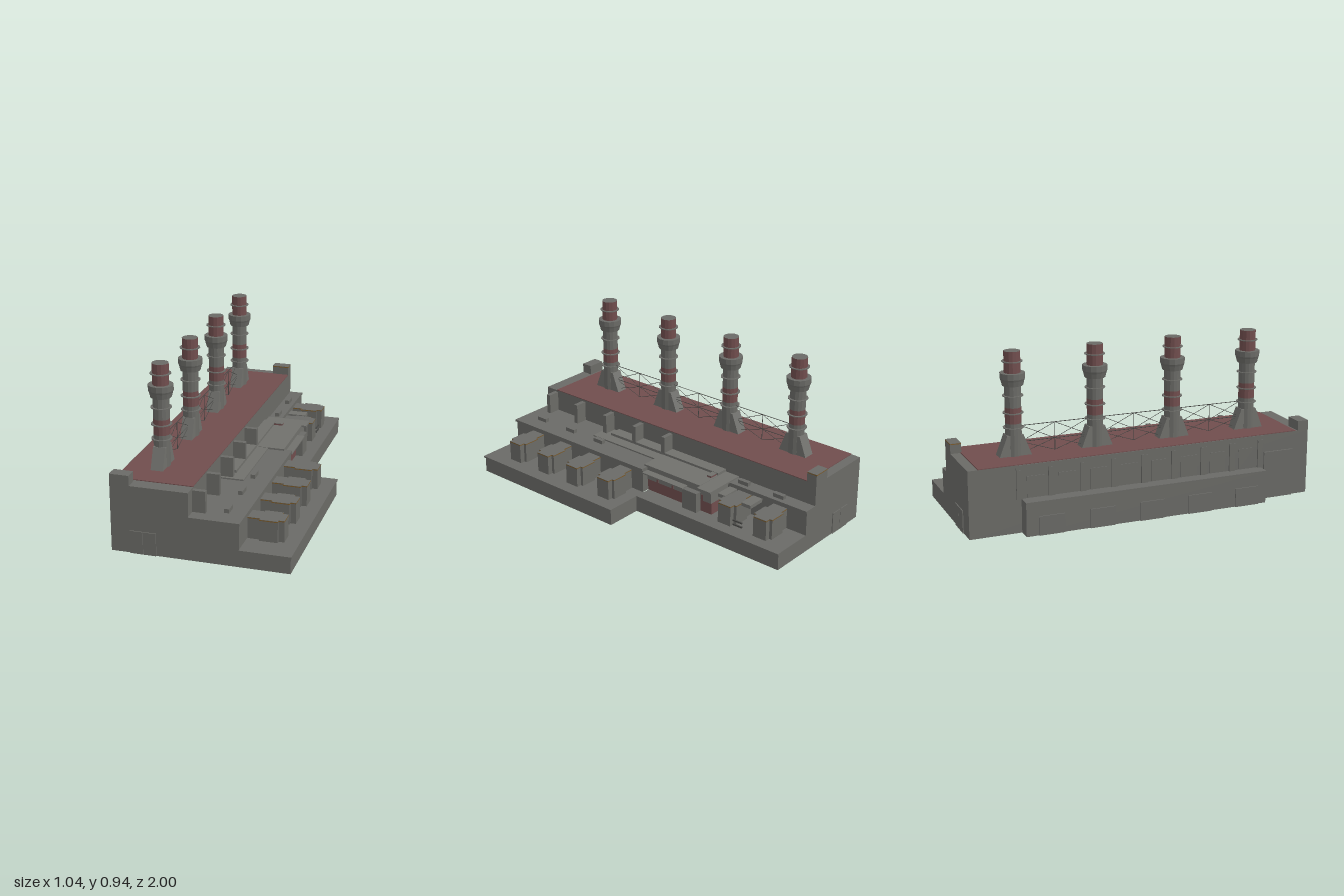
import * as THREE from 'three';

const paint = (name, color) => new THREE.MeshStandardMaterial({ name, color, side: THREE.DoubleSide });

export function createModel() {
  const wall = paint('concrete grey', 0x6a6a66);
  const brick = paint('faded red', 0x704d4d);
  const light = paint('pale grey', 0x70706c);
  const steel = paint('dark steel', 0x484846);
  const rust = paint('rusty brown', 0x7c5a28);
  const model = new THREE.Group();
  model.name = 'powerStation';

  const add = (name, geometry, material, parent = model) => {
    const m = new THREE.Mesh(geometry, material);
    m.name = name;
    parent.add(m);
    return m;
  };
  const boxGeometry = ([x0, x1], [y0, y1], [z0, z1]) =>
    new THREE.BoxGeometry(x1 - x0, y1 - y0, z1 - z0).translate((x0 + x1) / 2, (y0 + y1) / 2, (z0 + z1) / 2);
  // Solid box given by its limits
  const box = (name, x, y, z, material, parent = model) => add(name, boxGeometry(x, y, z), material, parent);
  // Hollow box; sides in open are left out (0 +x, 1 -x, 2 +y, 3 -y, 4 +z, 5 -z)
  const shell = (name, x, y, z, material, open) => {
    const g = boxGeometry(x, y, z);
    g.setIndex(Array.from(g.index.array).filter((_, i) => !open.includes(Math.floor(i / 6))));
    g.clearGroups();
    add(name, g, material);
  };
  // Thin bar between two points
  const bar = (name, a, b, r, parent) => {
    const p = new THREE.Vector3(...a), q = new THREE.Vector3(...b);
    const m = add(name, new THREE.CylinderGeometry(r, r, p.distanceTo(q), 4), steel, parent);
    m.position.copy(p).add(q).multiplyScalar(0.5);
    m.quaternion.setFromUnitVectors(new THREE.Vector3(0, 1, 0), q.sub(p).normalize());
  };

  // Main hall, open below, with its roof and corner blocks
  shell('hallWalls', [-0.44, -0.02], [0, 0.37], [-0.995, 0.99], wall, [0, 3]);
  box('hallUpperWall', [-0.024, -0.02], [0.235, 0.37], [-0.995, 0.99], wall);
  box('hallRoof', [-0.44, -0.02], [0.37, 0.374], [-0.94, 0.91], brick);
  box('frontCornerBlock', [-0.44, -0.335], [0.37, 0.425], [0.925, 0.99], wall);
  box('backCornerBlock', [-0.12, -0.02], [0.37, 0.419], [-0.995, -0.935], wall);
  box('backCornerRim', [-0.12, -0.02], [0.419, 0.424], [-0.995, -0.935], rust);
  box('backCornerTop', [-0.12, -0.02], [0.424, 0.426], [-0.995, -0.935], wall);

  // Gates on both ends
  for (const z of [0.99, -1])
    for (const x of [-0.335, -0.264])
      box('gateLeaf', [x, x + 0.069], [0, 0.125], [z, z + 0.006], wall);

  // Long right wall: pilasters, framed panels and top band
  const rightSide = new THREE.Group();
  rightSide.name = 'rightWallDetails';
  model.add(rightSide);
  for (let i = 0; i < 9; i++) {
    const z = -0.72 + i * 0.176;
    box('pilaster', [-0.449, -0.44], [0.185, 0.345], [z - 0.018, z + 0.018], wall, rightSide);
    if (i < 8) box('wallPanel', [-0.444, -0.44], [0.19, 0.305], [z + 0.04, z + 0.136], wall, rightSide);
  }
  box('topBand', [-0.446, -0.44], [0.345, 0.37], [-0.74, 0.71], wall, rightSide);
  box('endPanel', [-0.45, -0.44], [0, 0.27], [0.71, 0.89], wall, rightSide);

  // Low aisle beside the right wall
  shell('aisle', [-0.513, -0.44], [0, 0.18], [-0.71, 0.69], wall, [0, 2, 3]);
  box('aisleRoof', [-0.515, -0.44], [0.18, 0.186], [-0.71, 0.69], wall);
  for (let i = 0; i < 5; i++) {
    const z = -0.64 + i * 0.285;
    box('aislePanel', [-0.52, -0.513], [0, 0.105], [z, z + 0.14], wall);
  }

  // Lower terraces
  shell('frontAnnexWalls', [-0.02, 0.512], [0, 0.088], [-0.02, 0.99], wall, [1, 2, 3, 5]);
  box('annexStepWall', [0.3, 0.512], [0, 0.088], [-0.02, -0.015], wall);
  box('frontAnnexRoof', [0.245, 0.517], [0.088, 0.097], [-0.024, 1], wall);
  shell('backAnnexWalls', [-0.02, 0.3], [0, 0.088], [-0.995, -0.02], wall, [1, 2, 3, 4]);
  box('backAnnexRoof', [0.055, 0.305], [0.088, 0.097], [-0.995, -0.475], wall);
  box('wingSideRoof', [0.2, 0.305], [0.088, 0.097], [-0.475, -0.024], wall);

  // Upper terrace, wide in front and narrow at the back
  shell('frontTerraceWalls', [-0.02, 0.245], [0.088, 0.23], [-0.02, 0.99], wall, [1, 2, 3, 5]);
  box('terraceStepWall', [0.2, 0.245], [0.097, 0.23], [-0.02, -0.015], wall);
  box('frontTerraceRoof', [-0.02, 0.25], [0.23, 0.242], [-0.02, 1], wall);
  shell('backTerraceWalls', [-0.02, 0.055], [0.088, 0.23], [-0.995, -0.475], wall, [1, 2, 3, 4]);
  box('backTerraceRoof', [-0.02, 0.06], [0.23, 0.242], [-0.995, -0.475], wall);

  // Pale wing with red lower wall
  shell('wingLowerWall', [-0.02, 0.2], [0.088, 0.165], [-0.475, -0.02], brick, [1, 2, 3, 4]);
  shell('wingUpperWall', [-0.02, 0.205], [0.165, 0.24], [-0.475, -0.02], light, [1, 2, 3, 4]);
  box('wingRoof', [-0.02, 0.208], [0.24, 0.252], [-0.4, 0], light);
  box('wingEndRoof', [-0.02, 0.235], [0.24, 0.25], [-0.49, -0.4], light);
  box('wingLedge', [0.2, 0.25], [0.215, 0.222], [-0.31, -0.02], light);
  box('wingFrontRoof', [-0.02, 0.115], [0.242, 0.25], [0, 0.48], light);
  box('roofStep', [-0.02, 0.05], [0.25, 0.265], [-0.4, 0.4], light);
  box('roofCurb', [0.05, 0.1], [0.25, 0.26], [-0.39, -0.36], brick);
  box('roofCurbTop', [0.05, 0.1], [0.26, 0.263], [-0.39, -0.36], light);
  for (const z of [-0.42, -0.21, -0.1])
    box('wingPier', [0.2, 0.207], [0.165, 0.2], [z, z + 0.012], brick);
  box('wingPorch', [0.2, 0.24], [0.097, 0.213], [-0.4, -0.3], wall);
  for (const y of [0.115, 0.14])
    box('pipeRack', [0.232, 0.24], [y, y + 0.008], [-0.71, -0.65], steel);

  // Plant houses on the lower terraces: neck, body and nose with a rusty rim
  const plantHouse = (x, z) => {
    const g = new THREE.Group();
    g.name = 'plantHouse';
    g.position.set(x, 0, z);
    model.add(g);
    for (const [x0, x1, w] of [[0, 0.065, 0.044], [0.065, 0.162, 0.059], [0.162, 0.192, 0.042]]) {
      box('houseBody', [x0, x1], [0.097, 0.208], [-w, w], wall, g);
      box('houseRim', [x0, x1], [0.208, 0.213], [-w, w], rust, g);
      box('houseRoof', [x0, x1], [0.213, 0.215], [-w, w], wall, g);
    }
  };
  for (const z of [0.105, 0.345, 0.575, 0.805]) plantHouse(0.248, z);
  for (const z of [-0.825, -0.59]) plantHouse(0.045, z);
  for (const z of [[-0.71, -0.65], [-0.54, -0.49]])
    box('paleHatch', [0.06, 0.165], [0.2, 0.22], z, light);

  // Fins against the hall and small roof vents
  for (const z of [0.915, 0.685, 0.45, 0.22, 0])
    box('wallFin', [-0.02, 0.05], [0.242, 0.36], [z - 0.013, z + 0.013], wall);
  for (const [x, z] of [[0.151, 0.86], [0.151, 0.625], [0.151, 0.4], [0.022, -0.795], [0.022, -0.56]])
    box('roofVent', [x - 0.013, x + 0.013], [0.242, 0.264], [z - 0.033, z + 0.033], wall);

  // Chimneys
  const cx = -0.265, stacks = [0.685, 0.225, -0.23, -0.69];
  const lathe = (name, points, material, parent) => {
    const g = new THREE.LatheGeometry(points.map(p => new THREE.Vector2(...p)), 14).toNonIndexed();
    g.computeVertexNormals();
    add(name, g, material, parent);
  };
  const foot = new THREE.Shape([[-0.09, 0.37], [0.09, 0.37], [0.045, 0.487], [-0.045, 0.487]].map(p => new THREE.Vector2(...p)));
  for (const z of stacks) {
    const g = new THREE.Group();
    g.name = 'chimney';
    g.position.set(cx, 0, z);
    model.add(g);
    const footGeo = new THREE.ExtrudeGeometry(foot, { depth: 0.068, bevelEnabled: false });
    footGeo.translate(0, 0, -0.034).rotateY(Math.PI / 2);
    add('chimneyFoot', footGeo, light, g);
    lathe('lowerShaft', [[0.044, 0.37], [0.044, 0.55]], wall, g);
    lathe('redBand', [[0.044, 0.55], [0.044, 0.635]], brick, g);
    lathe('upperShaft', [[0.044, 0.635], [0.044, 0.75]], wall, g);
    lathe('collar', [[0.044, 0.75], [0.056, 0.752], [0.063, 0.78], [0.067, 0.79], [0.067, 0.82], [0.044, 0.82]], wall, g);
    lathe('redTop', [[0.044, 0.82], [0.044, 0.935]], brick, g);
    lathe('chimneyCap', [[0.044, 0.935], [0, 0.935]], wall, g);
    for (const y of [0.525, 0.605, 0.697, 0.88])
      lathe('catwalkRing', [[0.044, y - 0.002], [0.056, y - 0.002], [0.056, y + 0.002], [0.044, y + 0.002]], wall, g);
  }

  // Braced walkway between the chimneys
  const truss = new THREE.Group();
  truss.name = 'walkwayTruss';
  model.add(truss);
  for (let i = 0; i < 3; i++) {
    const a = stacks[i] - 0.04, b = stacks[i + 1] + 0.04, m = (a + b) / 2;
    for (const y of [0.44, 0.528]) bar('trussRail', [cx, y, a], [cx, y, b], 0.002, truss);
    bar('trussPost', [cx, 0.37, m], [cx, 0.528, m], 0.002, truss);
    for (const [p, q] of [[a, m], [m, b]])
      for (const [y0, y1] of [[0.44, 0.528], [0.528, 0.44], [0.375, 0.44], [0.44, 0.375]])
        bar('trussBrace', [cx, y0, p], [cx, y1, q], 0.0015, truss);
  }

  // Interior seen from the open underside: decks, partitions, rooms and pipes
  const inside = new THREE.Group();
  inside.name = 'interior';
  model.add(inside);
  for (let i = 0; i < 7; i++) {
    const z = -0.75 + i * 0.24, tone = i % 2 ? wall : brick;
    box('partition', [-0.3, 0.03], [0.1, 0.2], [z, z + 0.008], tone, inside);
    box('deck', [-0.3, -0.16], [0.195, 0.202], [z, z + 0.2], light, inside);
    box('sideRoom', [-0.06, 0.03], [0.1, 0.18], [z + 0.05, z + 0.17], i % 2 ? brick : wall, inside);
    box('corridorWall', [-0.308, -0.3], [0.1, 0.2], [z, z + 0.15], brick, inside);
    for (const dz of [0.06, 0.1, 0.14])
      bar('crossPipe', [-0.3, 0.12, z + dz], [-0.02, 0.12, z + dz], 0.004, inside);
  }
  for (const x of [-0.25, -0.21, -0.17, -0.13, -0.09])
    bar('longPipe', [x, 0.14, -0.5], [x, 0.14, 0.5], 0.005, inside);

  return model;
}
